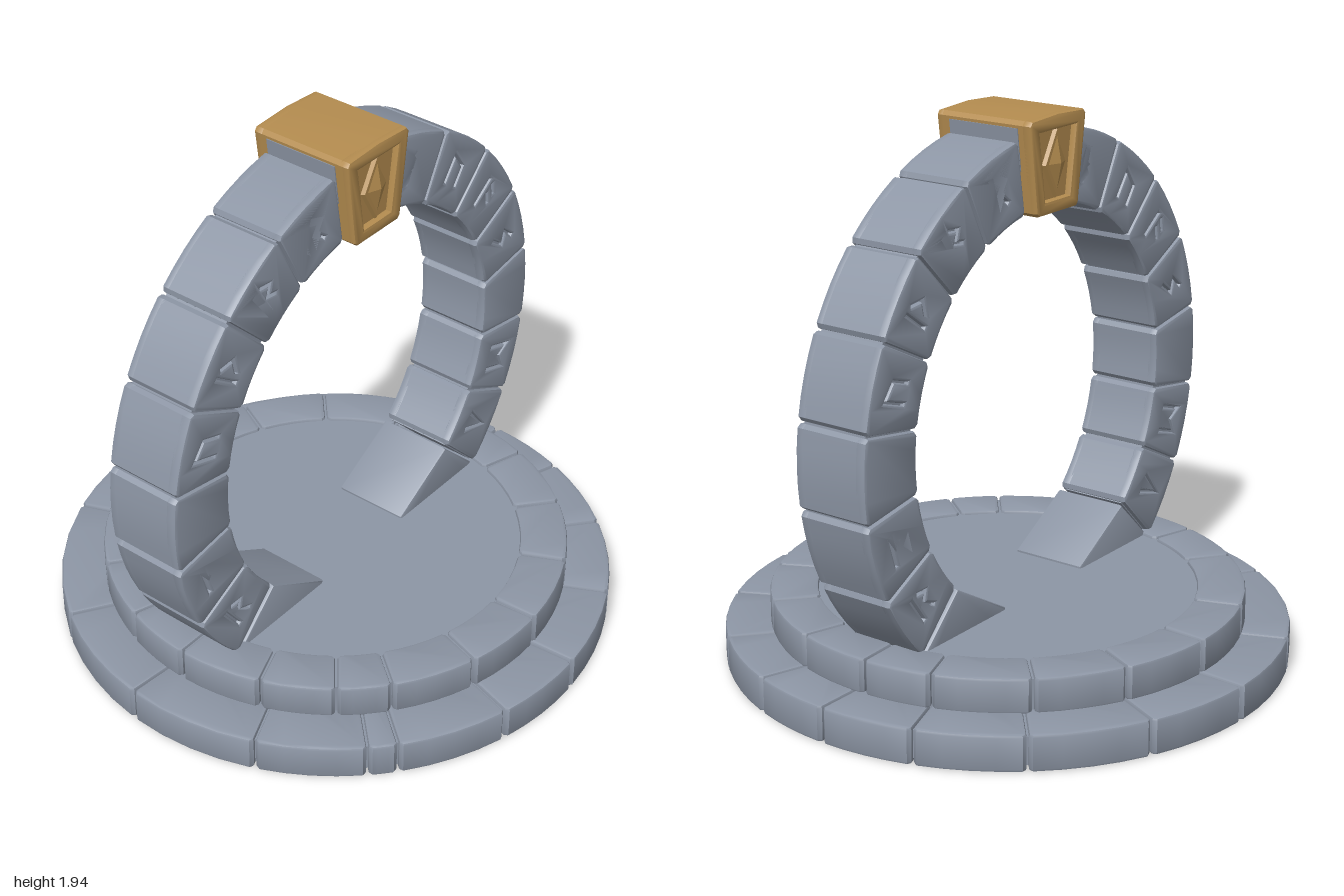
import * as THREE from 'three';
import { toCreasedNormals } from 'three/addons/utils/BufferGeometryUtils.js';

const stoneMat = new THREE.MeshStandardMaterial({ color: 0x8d96a5 });
stoneMat.name = 'blue grey stone';
const goldMat = new THREE.MeshStandardMaterial({ color: 0xb58d50 });
goldMat.name = 'old gold';

const rad = THREE.MathUtils.degToRad;
const polar = (r, a) => new THREE.Vector2(r * Math.cos(a), r * Math.sin(a));
const points = (list) => list.map(([x, y]) => new THREE.Vector2(x, y));

function add(parent, name, geometry, material = stoneMat) {
  const mesh = new THREE.Mesh(geometry, material);
  mesh.name = name;
  parent.add(mesh);
  return mesh;
}

// Bevelled plate filling exactly z0..z1
function plate(shape, z0, z1, bevel = 0) {
  const geometry = new THREE.ExtrudeGeometry(shape, {
    depth: z1 - z0 - 2 * bevel, bevelEnabled: bevel > 0, bevelThickness: bevel,
    bevelSize: bevel, bevelOffset: -bevel, bevelSegments: 2, curveSegments: 8,
  });
  geometry.translate(0, 0, z0 + bevel);
  return toCreasedNormals(geometry, 0.5);
}

// Outline of one stone in a circle, with clipped corners and a joint gap
function arcStone(a0, a1, ri, ro, gap = 0.004, c = 0.014) {
  const pts = [], n = 4;
  const edge = (r, inset, flip) => {
    const d = (gap + inset) / r;
    for (let i = 0; i <= n; i++) {
      const t = flip ? 1 - i / n : i / n;
      pts.push(polar(r, a0 + d + (a1 - a0 - 2 * d) * t));
    }
  };
  pts.push(polar(ro - c, a0 + gap / ro));
  edge(ro, c, false);
  pts.push(polar(ro - c, a1 - gap / ro), polar(ri + c, a1 - gap / ri));
  edge(ri, c, true);
  pts.push(polar(ri + c, a0 + gap / ri));
  return new THREE.Shape(pts);
}

// Mitred outline around an open stroke
function strokeOutline(list, halfWidth) {
  const p = points(list), left = [], right = [];
  p.forEach((q, i) => {
    const a = (i > 0 ? q.clone().sub(p[i - 1]) : p[1].clone().sub(q)).normalize();
    const b = (i < p.length - 1 ? p[i + 1].clone().sub(q) : a.clone()).normalize();
    const t = a.clone().add(b).normalize();
    const k = halfWidth / Math.max(0.4, t.dot(a));
    const n = new THREE.Vector2(-t.y * k, t.x * k);
    left.push(q.clone().add(n));
    right.unshift(q.clone().sub(n));
  });
  return [...left, ...right];
}

// Carved signs, by stone position counted from the top (positive towards -x)
const stem = [[-0.03, -0.055], [-0.03, 0.055]];
const hook = [[0, 0.05], [0.035, 0.025], [0, -0.005], [0.035, -0.055]];
const signs = {
  1: [stem, hook],
  2: [stem, [[0, 0.055], [0.035, 0.025], [0, -0.002], [0.03, -0.03]]],
  3: [stem, [[0, 0.05], [0.04, 0.005], [0, -0.04]]],
  4: [[[-0.035, -0.05], [-0.035, 0.05], [0.035, 0.025], [0.035, -0.05]]],
  6: [stem, hook],
  7: [stem, hook],
  [-1]: [stem, [[0, 0.05], [0.035, 0.02], [0, -0.01]]],
  [-2]: [[[-0.035, -0.05], [-0.035, 0.05], [0.035, 0.025], [0.035, -0.05]]],
  [-3]: [stem, [[0, 0.05], [0.035, 0.03]], [[0, 0.01], [0.035, -0.01]]],
  [-4]: [[[0.03, 0.05], [-0.02, 0.02], [0.025, -0.01], [-0.03, -0.05]]],
  [-6]: [[[-0.045, -0.05], [-0.045, 0.05], [0, 0.01], [0.045, 0.05], [0.045, -0.05]]],
  [-7]: [[[-0.03, -0.05], [0, 0.055], [0.035, -0.05]]],
};

const RI = 0.705, RO = 0.965, STEP = rad(18), HALF = 0.1425;

function buildRing() {
  const ring = new THREE.Group();
  ring.name = 'ring';
  const faces = new THREE.Group();
  faces.name = 'frontFaces';

  // Inner core that fills the joints
  const core = new THREE.Shape();
  core.absarc(0, 0, RO - 0.018, rad(-45), rad(225), false);
  core.absarc(0, 0, RI + 0.018, rad(225), rad(-45), true);
  add(ring, 'ringCore', toCreasedNormals(new THREE.ExtrudeGeometry(core, {
    depth: 0.25, bevelEnabled: false, curveSegments: 48 }).translate(0, 0, -0.125), 0.5));

  for (let i = -7; i <= 7; i++) {
    if (i === 0) continue;
    const mid = Math.PI / 2 + i * STEP;
    const outline = () => arcStone(mid - STEP / 2, mid + STEP / 2, RI, RO);
    add(ring, 'archStone', plate(outline(), -0.115, 0.115));

    // Face slab with the sign cut through to the stone behind it
    const face = outline();
    const centre = polar(0.84, mid);
    const turn = i > 5 ? mid - Math.PI : mid - Math.PI / 2;
    for (const stroke of signs[i] || []) {
      const hole = strokeOutline(stroke, 0.004).map((p) =>
        p.rotateAround(new THREE.Vector2(), turn).add(centre));
      face.holes.push(new THREE.Path(hole));
    }
    add(faces, 'archStoneFace', plate(face, 0.0975, HALF, 0.01));
  }

  // Sloping feet where the ring sinks into the platform
  for (const s of [-1, 1]) {
    const foot = points([[0.492, -0.51], [0.225, -0.665], [0.225, -0.75], [0.67, -0.75], [0.675, -0.685]]);
    foot.forEach((p) => { p.x *= s; });
    add(ring, 'ringFoot', plate(new THREE.Shape(foot), -HALF, HALF, 0.01));
  }

  // Keystone: gold block, framed faces and faceted gems
  const block = () => new THREE.Shape(points([
    [-0.106, 0.695], [0.106, 0.695], [0.118, 0.707], [0.158, 1.005], [0.147, 1.02],
    [0, 1.028], [-0.147, 1.02], [-0.158, 1.005], [-0.118, 0.707]]));
  add(ring, 'keystone', plate(block(), -0.17, 0.17), goldMat);
  add(ring, 'keystoneCore', plate(new THREE.Shape(points([
    [-0.141, 0.85], [0.141, 0.85], [0.16, 0.995], [-0.16, 0.995]])), -0.14, 0.14));
  const frame = block();
  frame.holes.push(new THREE.Path(points([
    [-0.07, 0.74], [0.07, 0.74], [0.104, 0.975], [-0.104, 0.975]])));
  add(faces, 'keystoneFrame', plate(frame, 0.15, 0.194, 0.01), goldMat);
  const gem = (name, geometry, z, w, h) => {
    geometry.rotateX(Math.PI / 2).scale(w, h, 1).translate(0.005, 0.86, z);
    add(faces, name, toCreasedNormals(geometry, 0.1), goldMat);
  };
  gem('gemBase', new THREE.CylinderGeometry(0.9, 1, 0.014, 4), 0.176, 0.07, 0.125);
  gem('gem', new THREE.ConeGeometry(1, 0.018, 4), 0.191, 0.05, 0.095);

  // The back carries the same faces, turned half round
  const back = faces.clone();
  back.name = 'backFaces';
  back.rotation.y = Math.PI;
  ring.add(faces, back);
  ring.position.set(-0.02, 0.91, 0);
  return ring;
}

function buildTier(name, joints, ri, ro, y0, y1) {
  const tier = new THREE.Group();
  tier.name = name;
  joints.forEach((a, i) => {
    const b = i < joints.length - 1 ? joints[i + 1] : joints[0] + 360;
    const shape = arcStone(rad(a), rad(b), ri, ro, 0.004, 0.012);
    add(tier, name + 'Stone', plate(shape, -y1, -y0, 0.01).rotateX(Math.PI / 2));
  });
  return tier;
}

export function createModel() {
  const model = new THREE.Group();
  model.name = 'stoneRingGate';

  // Platform: two circles of uneven stones around solid discs
  const lower = [-87, -64, -40, -18.5, 1, 19, 40, 63, 86, 106, 129, 135, 157, 185, 212, 248];
  const upper = [-87, -64, -42, -19, -2, 18, 40, 63, 86, 107, 128, 141, 159, 180, 198, 218, 250];
  model.add(buildTier('lowerTier', lower, 0.72, 1, 0, 0.13));
  model.add(buildTier('upperTier', upper, 0.67, 0.84, 0.125, 0.25));
  const disc = (name, r, y0, y1) => add(model, name,
    new THREE.CylinderGeometry(r, r, y1 - y0, 64).translate(0, (y0 + y1) / 2, 0));
  disc('lowerFill', 0.975, 0.015, 0.115);
  disc('floor', 0.815, 0.1, 0.238);
  disc('underside', 0.73, 0.006, 0.05);

  model.add(buildRing());
  return model;
}
